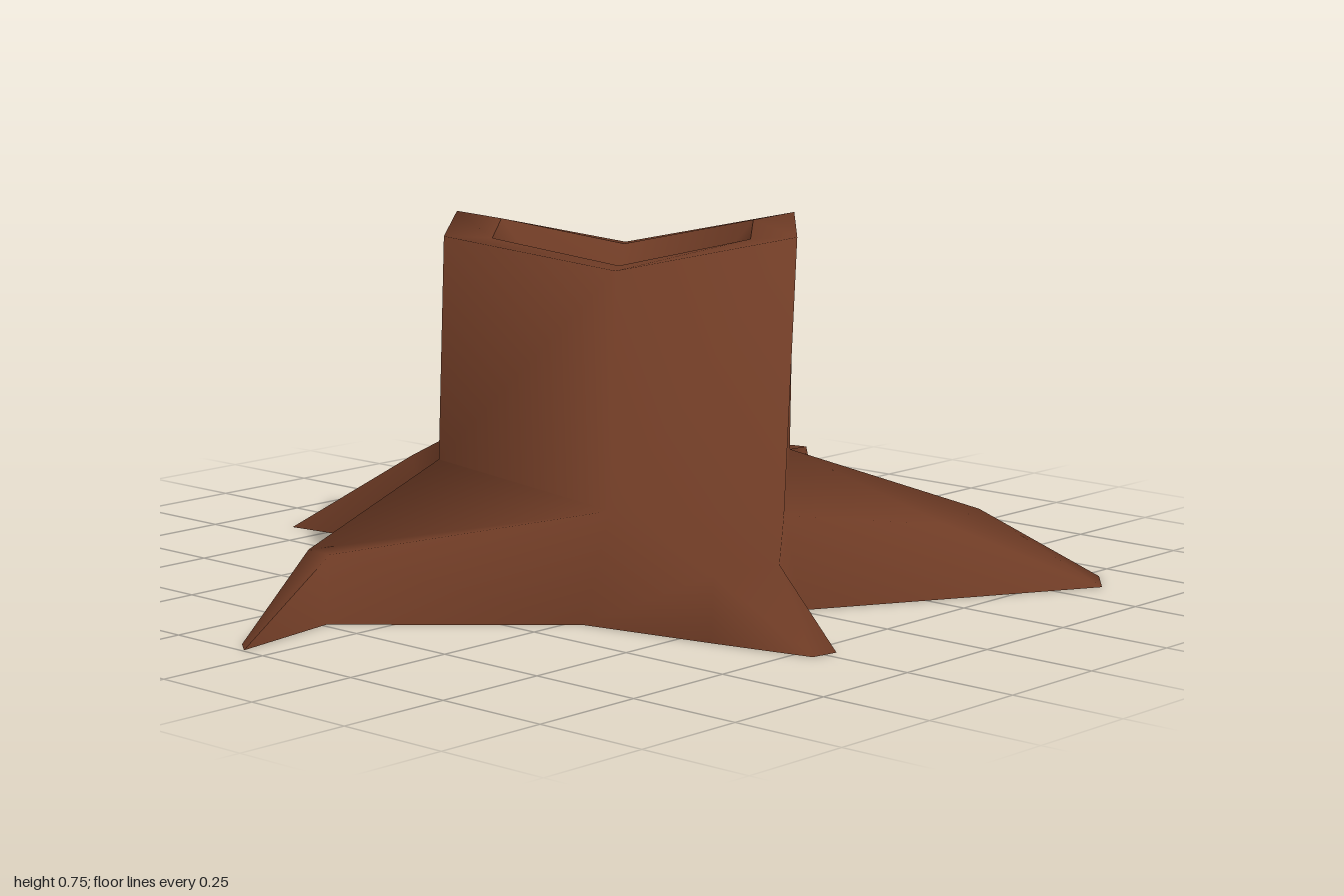
import * as THREE from 'three';
import { toCreasedNormals } from 'three/addons/utils/BufferGeometryUtils.js';

const GROUND = 0.012;

// Collects triangles, each corner given as [x, y, z]
function surface(name, material, crease, fill) {
  const pos = [];
  const tri = (...corners) => corners.forEach((c) => pos.push(...c));
  const quad = (a, b, c, d) => { tri(a, b, c); tri(a, c, d); };
  fill(tri, quad);
  const geo = new THREE.BufferGeometry();
  geo.setAttribute('position', new THREE.Float32BufferAttribute(pos, 3));
  const mesh = new THREE.Mesh(toCreasedNormals(geo, crease), material);
  mesh.name = name;
  return mesh;
}

export function createModel() {
  const group = new THREE.Group();
  group.name = 'treeStump';
  const bark = new THREE.MeshStandardMaterial({ color: 0x6e3b25, side: THREE.DoubleSide });
  bark.name = 'bark brown';

  // Six-sided trunk: lower ring, uneven top ring, inner rim
  const lower = [[-0.27, 0.25, -0.33], [0.17, 0.25, -0.38], [0.46, 0.2, -0.02],
    [0.3, 0.24, 0.33], [-0.12, 0.3, 0.4], [-0.39, 0.28, 0.08]];
  const top = [[-0.26, 0.67, -0.32], [0.16, 0.765, -0.4], [0.43, 0.765, -0.09],
    [0.3, 0.725, 0.315], [-0.11, 0.765, 0.39], [-0.385, 0.765, 0.08]];
  const inner = [[-0.19, 0.68, -0.24], [0.13, 0.755, -0.3], [0.33, 0.755, -0.06],
    [0.23, 0.72, 0.23], [-0.07, 0.755, 0.29], [-0.28, 0.755, 0.05]];
  const pit = [0.05, 0.42, 0.03];

  // Ground points in the valleys between the roots
  const vEA = [-0.3, -0.36], vAB = [0.19, -0.43], vBC = [0.52, -0.01];
  const vCD = [0.28, 0.39], vDE = [-0.2, 0.37];

  // Each root: trunk corners a and b, two raised knees, ground outline from a to b.
  // Outline edges before 'from' join corner a, those after 'to' join corner b;
  // edges up to 'tip' join the first knee, the rest the second.
  const roots = [
    { a: 0, b: 1, knees: [[-0.29, 0.17, -0.6], [-0.06, 0.18, -0.71]], to: 5,
      outline: [vEA, [-0.31, -0.59], [-0.525, -0.985], [-0.44, -1], [-0.03, -0.73], [0.05, -0.56], vAB] },
    { a: 1, b: 2, knees: [[0.61, 0.165, -0.48], [0.66, 0.165, -0.3]],
      outline: [vAB, [0.56, -0.52], [0.78, -0.68], [0.845, -0.6], vBC] },
    { a: 2, b: 3, knees: [[0.61, 0.15, 0.17], [0.55, 0.14, 0.3]],
      outline: [vBC, [0.63, 0.15], [0.8, 0.22], [0.79, 0.28], [0.57, 0.33], vCD] },
    { a: 3, b: 4, knees: [[-0.13, 0.145, 0.7], [-0.215, 0.14, 0.68]],
      outline: [vCD, [-0.1, 0.74], [-0.06, 0.995], [-0.1, 0.965], [-0.23, 0.71], vDE] },
    { a: 5, b: 0, knees: [[-0.53, 0.21, 0.08], [-0.615, 0.2, -0.12]], from: 1, tip: 3,
      outline: [vDE, [-0.37, 0.2], [-0.55, 0.11], [-0.85, 0.15], [-0.85, 0.04], [-0.69, -0.13], vEA] },
  ];

  // Trunk wall, rim and spreading roots share one smooth skin, open underneath
  group.add(surface('trunkAndRoots', bark, 1.75, (tri, quad) => {
    for (let i = 0; i < 6; i++) {
      const j = (i + 1) % 6;
      quad(lower[j], lower[i], top[i], top[j]);
      quad(top[j], top[i], inner[i], inner[j]);
    }
    for (const { a, b, knees, outline, from = 0, tip = 2, to = outline.length } of roots) {
      const g = outline.map(([x, z]) => [x, GROUND, z]);
      let last = lower[a];
      g.forEach((point, k) => {
        const end = k === g.length - 1;
        const apex = k < from ? lower[a] : end || k >= to ? lower[b] : knees[k <= tip ? 0 : 1];
        if (apex !== last) tri(point, last, apex);
        if (!end) tri(g[k + 1], point, apex);
        last = apex;
      });
      quad(knees[1], knees[0], lower[a], lower[b]);
    }
    // Wall between the front root and the right root
    tri([vDE[0], GROUND, vDE[1]], lower[4], lower[5]);
  }));

  // Hollow sinking to a point in the top
  group.add(surface('hollow', bark, 1.75, (tri) => {
    for (let i = 0; i < 6; i++) tri(inner[(i + 1) % 6], inner[i], pit);
  }));

  return group;
}
